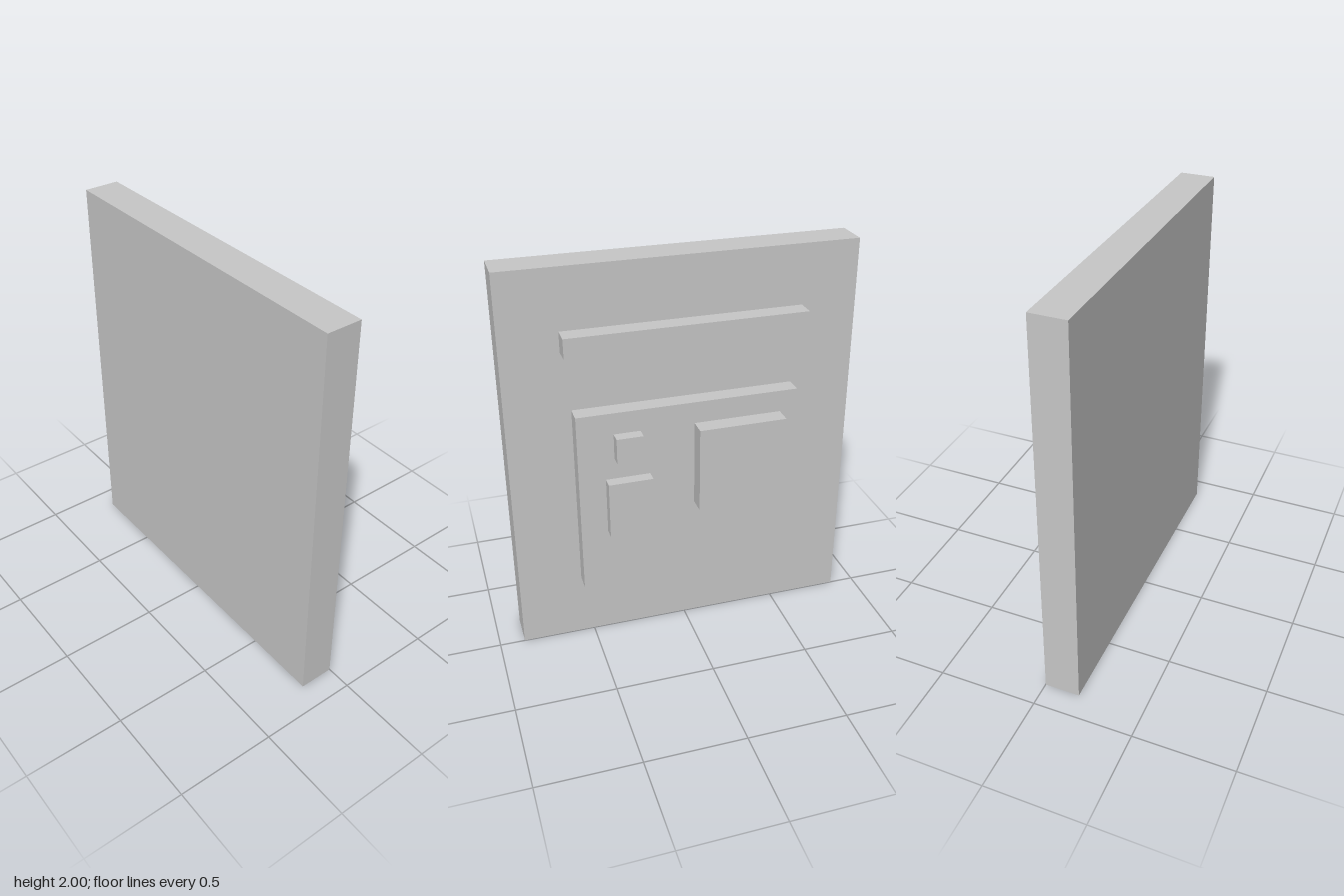
import * as THREE from 'three';

export function createModel() {
  const model = new THREE.Group();
  model.name = 'panelBoard';

  const lightGrey = new THREE.MeshStandardMaterial({ color: 0xc7c7c7 });
  lightGrey.name = 'lightGrey';

  // Adds a box spanning the given ranges on each axis
  function addBox(name, [x0, x1], [y0, y1], [z0, z1]) {
    const mesh = new THREE.Mesh(new THREE.BoxGeometry(x1 - x0, y1 - y0, z1 - z0), lightGrey);
    mesh.name = name;
    mesh.position.set((x0 + x1) / 2, (y0 + y1) / 2, (z0 + z1) / 2);
    model.add(mesh);
  }

  const slabBack = 0.001;
  const plateBack = -0.088;

  // Main upright slab
  addBox('slab', [-0.873, 0.873], [0, 2], [slabBack, 0.177]);

  // Long bar and raised plate on the back
  addBox('topBar', [-0.594, 0.592], [1.596, 1.697], [-0.094, slabBack]);
  addBox('backPlate', [-0.555, 0.555], [0.337, 1.297], [plateBack, slabBack]);

  // Blocks standing on the plate
  addBox('largeBlock', [-0.468, -0.026], [0.744, 1.186], [-0.177, plateBack]);
  addBox('mediumBlock', [0.2, 0.422], [0.653, 0.946], [-0.147, plateBack]);
  addBox('smallBlock', [0.244, 0.376], [1.056, 1.186], [-0.147, plateBack]);

  return model;
}
